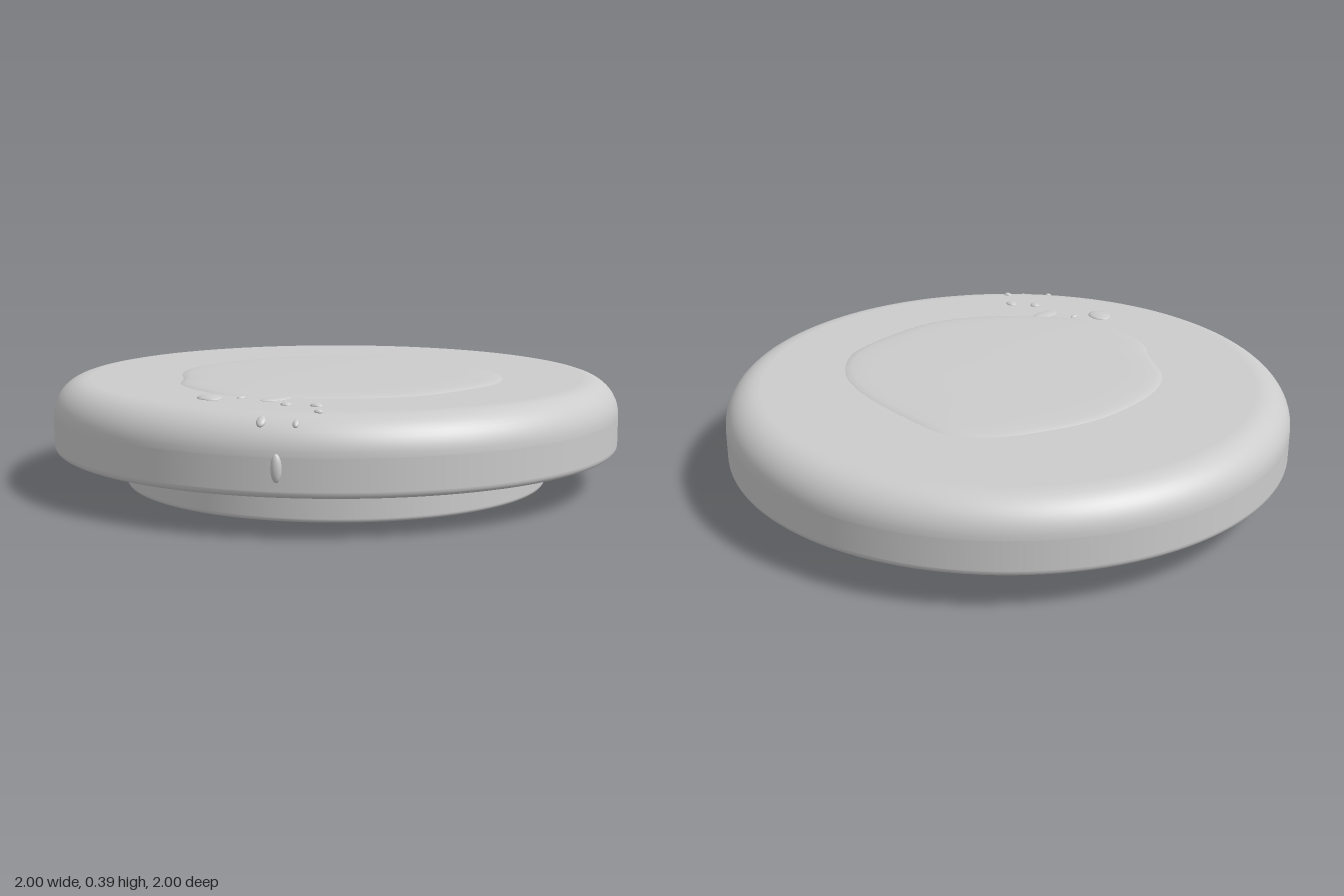
import * as THREE from 'three';

const grey = new THREE.MeshStandardMaterial({ color: 0xcccccc });
const TOP = 0.375, ROUND = 0.12;

function addMesh(parent, name, geometry) {
  const mesh = new THREE.Mesh(geometry, grey);
  mesh.name = name;
  parent.add(mesh);
  return mesh;
}

// Solid disc with its own rounding at the lower and upper rim
function roundedDisc(radius, y0, y1, rLow, rHigh) {
  const pts = [[0, y0], [radius - rLow - 0.002, y0]];
  const arc = (r, cy, from, steps) => {
    for (let i = 0; i <= steps; i++) {
      const a = from + (i / steps) * Math.PI / 2;
      pts.push([radius - r + r * Math.cos(a), cy + r * Math.sin(a)]);
    }
  };
  arc(rLow, y0 + rLow, -Math.PI / 2, 5);
  pts.push([radius, y0 + rLow + 0.002], [radius, y1 - rHigh - 0.002]);
  arc(rHigh, y1 - rHigh, 0, 12);
  pts.push([radius - rHigh - 0.002, y1], [0, y1]);
  return new THREE.LatheGeometry(pts.map(([x, y]) => new THREE.Vector2(x, y)), 128);
}

// Thin domed puddle: the outline shrinks towards its centre while it rises
function puddleGeometry() {
  const outline = [
    [-0.1, -0.5], [0.22, -0.49], [0.4, -0.43], [0.54, -0.3], [0.6, -0.1], [0.615, 0.13],
    [0.54, 0.32], [0.4, 0.5], [0.24, 0.61], [0.1, 0.63], [-0.08, 0.6], [-0.18, 0.53],
    [-0.36, 0.42], [-0.45, 0.27], [-0.49, 0], [-0.45, -0.2], [-0.37, -0.38], [-0.25, -0.48],
  ].map(([x, z]) => new THREE.Vector3(x, 0, z));
  const n = 72, cx = 0.06, cz = 0.05;
  const edge = new THREE.CatmullRomCurve3(outline, true).getPoints(n).slice(0, n);
  const rings = [[1, -0.002], [0.985, 0.003], [0.95, 0.007], [0.88, 0.01], [0.75, 0.012], [0.4, 0.014], [0, 0.014]];
  const pos = [], index = [];
  rings.forEach(([s, h], k) => edge.forEach((p, i) => {
    pos.push(cx + (p.x - cx) * s, TOP + h, cz + (p.z - cz) * s);
    if (k === rings.length - 1) return;
    const a = k * n + i, b = k * n + (i + 1) % n;
    index.push(a, a + n, b, b, a + n, b + n);
  }));
  const geo = new THREE.BufferGeometry();
  geo.setAttribute('position', new THREE.Float32BufferAttribute(pos, 3));
  geo.setIndex(index);
  geo.computeVertexNormals();
  return geo;
}

// Height and tilt of the rounded rim at a given distance from the axis
function rimAt(r) {
  const a = Math.asin(THREE.MathUtils.clamp((r - 1 + ROUND) / ROUND, 0, 1));
  return { y: TOP - ROUND + ROUND * Math.cos(a), tilt: a };
}

export function createModel() {
  const model = new THREE.Group();
  model.name = 'disc';

  addMesh(model, 'base', roundedDisc(0.75, 0, 0.14, 0.012, 0.005));
  addMesh(model, 'body', roundedDisc(1, 0.13, TOP, 0.02, ROUND));
  addMesh(model, 'puddle', puddleGeometry());

  // Drops: x, z, half width, half length, height, turn, optional y on the side wall
  const drops = new THREE.Group();
  drops.name = 'drops';
  model.add(drops);
  const unit = new THREE.SphereGeometry(1, 24, 16);
  [
    [0.252, 0.685, 0.052, 0.04, 0.011, -0.15],
    [0.31, 0.603, 0.011, 0.017, 0.007, 0],
    [0.51, 0.57, 0.021, 0.018, 0.009, -0.3],
    [0.585, 0.508, 0.025, 0.018, 0.009, 0],
    [0.68, 0.57, 0.017, 0.013, 0.008, 0],
    [0.4, 0.53, 0.03, 0.06, 0.007, 0],
    [0.61, 0.73, 0.015, 0.022, 0.01, null],
    [0.69, 0.66, 0.01, 0.016, 0.008, null],
    [0.685, 0.729, 0.017, 0.044, 0.014, null, 0.222],
  ].forEach(([x, z, w, l, h, turn, y]) => {
    const rim = rimAt(Math.hypot(x, z));
    const drop = addMesh(drops, 'drop', unit);
    drop.scale.set(w, h, l);
    drop.position.set(x, y ?? rim.y, z);
    // Drops on the rim face outward and lean with the surface
    drop.rotation.order = 'YXZ';
    if (turn === null) drop.rotation.set(y ? Math.PI / 2 : rim.tilt, Math.atan2(x, z), 0);
    else drop.rotation.y = turn;
  });

  return model;
}
